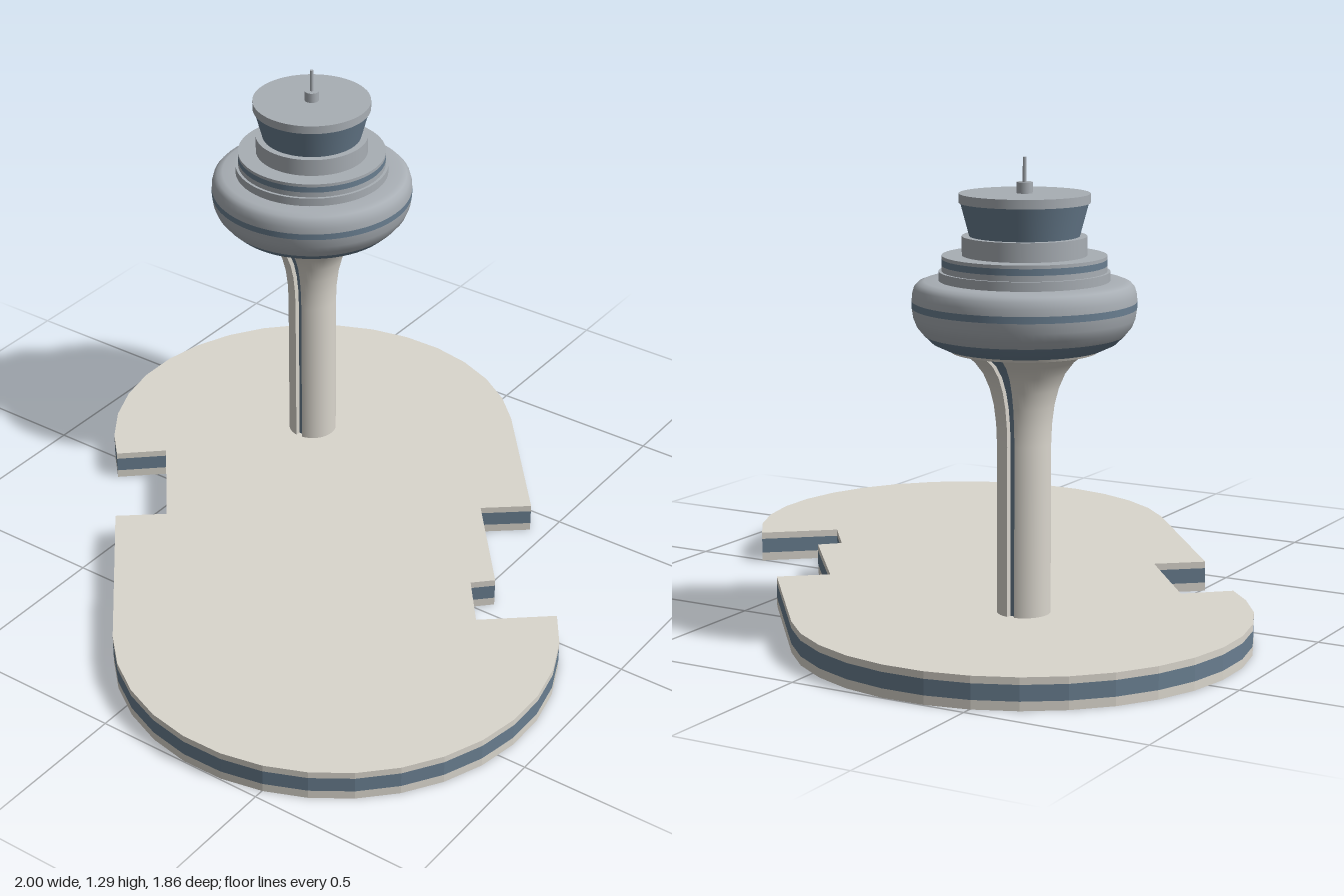
import * as THREE from 'three';

const paint = (name, color) => {
  const m = new THREE.MeshStandardMaterial({ color, side: THREE.DoubleSide });
  m.name = name;
  return m;
};

export function createModel() {
  const concrete = paint('concrete', 0xdad6cd);
  const glass = paint('blueGlass', 0x697e90);
  const metal = paint('greyMetal', 0xa8aeb4);

  const model = new THREE.Group();
  model.name = 'controlTower';
  const add = (parent, name, geometry, material) => {
    const mesh = new THREE.Mesh(geometry, material);
    mesh.name = name;
    parent.add(mesh);
    return mesh;
  };

  // Base building: two round ends joined by notched sides, clockwise in x, z seen from above
  const roundEnd = (cx, cz, from) => Array.from({ length: 17 }, (_, i) => {
    const a = THREE.MathUtils.degToRad(from + (i * 180) / 16);
    return [cx + 0.612 * Math.cos(a), cz + 0.612 * Math.sin(a)];
  });
  const outline = [
    [-0.08, -0.715],
    ...roundEnd(0.388, -0.318, -130),
    [0.415, 0.45], [0.32, 0.335], [0.045, 0.56], [-0.005, 0.51], [-0.14, 0.615],
    ...roundEnd(-0.388, 0.318, 50),
    [-0.335, -0.51], [-0.24, -0.395], [0.02, -0.605],
  ];

  // Outer wall strip, one flat face per side
  const wall = (y0, y1) => {
    const position = [];
    outline.forEach((a, i) => {
      const b = outline[(i + 1) % outline.length];
      position.push(b[0], y0, b[1], a[0], y0, a[1], a[0], y1, a[1]);
      position.push(b[0], y0, b[1], a[0], y1, a[1], b[0], y1, b[1]);
    });
    const g = new THREE.BufferGeometry();
    g.setAttribute('position', new THREE.Float32BufferAttribute(position, 3));
    g.computeVertexNormals();
    return g;
  };

  // Plan points moved inward by d with mitred corners
  const insetPlan = (d) => outline.map((p, i) => {
    const n = outline.length;
    const [a, b] = [outline[(i + n - 1) % n], outline[(i + 1) % n]];
    const inward = (s, e) => new THREE.Vector2(s[1] - e[1], e[0] - s[0]).normalize();
    const n1 = inward(a, p);
    const n2 = inward(p, b);
    const k = d / (1 + n1.dot(n2));
    return new THREE.Vector2(p[0] + (n1.x + n2.x) * k, -p[1] - (n1.y + n2.y) * k);
  });
  const slab = (shape, depth) =>
    new THREE.ExtrudeGeometry(shape, { depth, bevelEnabled: false }).rotateX(-Math.PI / 2);

  const base = new THREE.Group();
  base.name = 'baseBuilding';
  model.add(base);
  add(base, 'lowerWall', wall(0, 0.024), concrete);
  add(base, 'windowBand', wall(0.024, 0.066), glass);
  add(base, 'upperWall', wall(0.066, 0.082), concrete);
  const liningShape = new THREE.Shape(insetPlan(0.0015));
  liningShape.holes.push(new THREE.Path(insetPlan(0.005)));
  add(base, 'wallLining', slab(liningShape, 0.082), concrete);
  add(base, 'roof', slab(new THREE.Shape(insetPlan(0)), 0.003), concrete).position.y = 0.082;

  // Tower
  const tower = new THREE.Group();
  tower.name = 'tower';
  tower.position.set(0.392, 0, -0.325);
  model.add(tower);
  const lathe = (points, start = 0, length = Math.PI * 2, segments = 64) =>
    new THREE.LatheGeometry(points.map(([r, y]) => new THREE.Vector2(r, y)), segments, start, length);

  // Shaft: two hollow flared shells with a recessed glass slot on each side
  const shaft = [
    [0.071, 0], [0.071, 0.54], [0.073, 0.59], [0.079, 0.64], [0.09, 0.685],
    [0.107, 0.725], [0.131, 0.757], [0.168, 0.787],
  ];
  const inset = (d) => shaft.map(([r, y]) => [r - d, y]);
  const lining = inset(0.016).reverse();
  const gap = 0.15;
  for (const side of [1, -1]) {
    const middle = (side * Math.PI) / 2;
    const shell = (points) => lathe(points, middle + gap, Math.PI - 2 * gap, 32);
    const slot = (points) => lathe(points, middle - gap, 2 * gap, 4);
    add(tower, 'shaftShell', shell(shaft), concrete);
    add(tower, 'shaftLining', shell(lining), concrete);
    add(tower, 'shaftFoot', shell([[0.055, 0], [0.071, 0]]), concrete);
    add(tower, 'slotGlass', slot(inset(0.014)), glass);
    for (const edge of [gap, -gap]) {
      const section = [...shaft, ...lining];
      const shape = new THREE.Shape(section.map(([r, y]) => new THREE.Vector2(r, y)));
      const g = new THREE.ShapeGeometry(shape);
      add(tower, 'slotEdge', g, concrete).rotation.y = edge + (side < 0 ? Math.PI : 0);
    }
  }

  // Head: stacked rings, each its own lathe so the edges between them stay crisp
  const rings = [
    ['headFloor', concrete, [[0.001, 0.784], [0.192, 0.784]]],
    ['headRim', concrete, [[0.192, 0.784], [0.196, 0.792]]],
    ['headRimUnderside', concrete, [[0.196, 0.792], [0.208, 0.793]]],
    ['lowerWindows', glass, [[0.208, 0.793], [0.24, 0.808], [0.262, 0.829]]],
    ['headBelly', metal, [[0.262, 0.829], [0.279, 0.85], [0.288, 0.872], [0.292, 0.898]]],
    ['middleWindows', glass, [[0.292, 0.898], [0.292, 0.916]]],
    ['headShoulder', metal,
      [[0.292, 0.916], [0.291, 0.933], [0.286, 0.951], [0.276, 0.962], [0.26, 0.968], [0.22, 0.969]]],
    ['firstStep', metal, [[0.222, 0.967], [0.222, 0.993]]],
    ['firstStepTop', metal, [[0.222, 0.993], [0.21, 0.993]]],
    ['secondStepBase', metal, [[0.214, 0.993], [0.214, 1.008]]],
    ['stepWindows', glass, [[0.214, 1.008], [0.214, 1.025]]],
    ['secondStepRim', metal, [[0.214, 1.025], [0.214, 1.034]]],
    ['secondStepTop', metal, [[0.214, 1.034], [0.15, 1.034]]],
    ['cabBase', metal, [[0.162, 1.034], [0.162, 1.084]]],
    ['cabBaseTop', metal, [[0.162, 1.084], [0.12, 1.084]]],
    ['cabWindows', glass, [[0.143, 1.084], [0.166, 1.17]]],
    ['cabRoofUnderside', metal, [[0.16, 1.17], [0.17, 1.17]]],
    ['cabRoofRim', metal, [[0.17, 1.17], [0.17, 1.194]]],
    ['cabRoof', metal, [[0.17, 1.194], [0.001, 1.194]]],
  ];
  for (const [name, material, points] of rings) add(tower, name, lathe(points), material);

  // Antenna
  const mount = new THREE.CylinderGeometry(0.021, 0.021, 0.03, 16);
  add(tower, 'antennaMount', mount, metal).position.y = 1.208;
  const rod = new THREE.CylinderGeometry(0.005, 0.005, 0.066, 10);
  add(tower, 'antennaRod', rod, metal).position.y = 1.254;

  return model;
}
